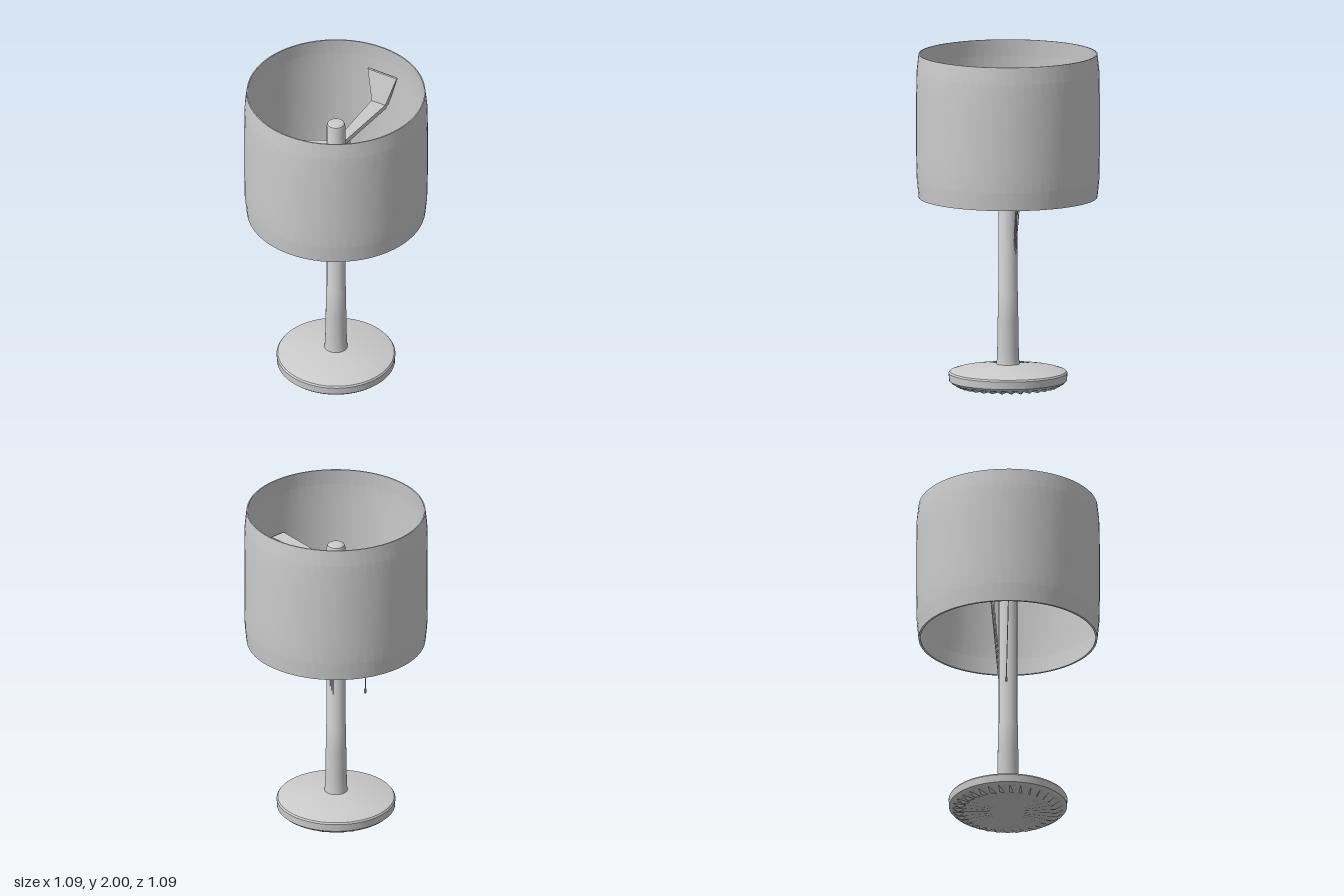
import * as THREE from 'three';
import { toCreasedNormals } from 'three/addons/utils/BufferGeometryUtils.js';

const material = new THREE.MeshStandardMaterial({ color: 0xcccccc, side: THREE.DoubleSide });
const UP = new THREE.Vector3(0, 1, 0);

function part(name, geometry, crease = 0.5) {
  const mesh = new THREE.Mesh(toCreasedNormals(geometry, crease), material);
  mesh.name = name;
  return mesh;
}

function lathe(profile, segments) {
  return new THREE.LatheGeometry(profile.map(([r, y]) => new THREE.Vector2(r, y)), segments);
}

// Thin straight rod between two points
function rod(name, from, to, r0, r1, sides) {
  const a = new THREE.Vector3(...from), b = new THREE.Vector3(...to);
  const mesh = part(name, new THREE.CylinderGeometry(r1, r0, a.distanceTo(b), sides), 0.9);
  mesh.position.copy(a).add(b).multiplyScalar(0.5);
  mesh.quaternion.setFromUnitVectors(UP, b.sub(a).normalize());
  return mesh;
}

// Flat bar with an [x, z] outline, lying between y and y + height
function slab(name, outline, y, height) {
  const shape = new THREE.Shape(outline.map(([x, z]) => new THREE.Vector2(x, -z)));
  const geometry = new THREE.ExtrudeGeometry(shape, { depth: height, bevelEnabled: false });
  geometry.rotateX(-Math.PI / 2);
  geometry.translate(0, y, 0);
  return part(name, geometry);
}

// Sloping plate that widens from the arm up to the shade wall
function bracketGeometry() {
  const rings = [
    [[0.0, 1.625, -0.47], [0.09, 1.625, -0.465], [0.095, 1.61, -0.5], [-0.005, 1.61, -0.505]],
    [[-0.05, 1.82, -0.515], [0.15, 1.82, -0.498], [0.15, 1.82, -0.51], [-0.05, 1.82, -0.527]],
  ];
  const index = [0, 2, 1, 0, 3, 2, 4, 5, 6, 4, 6, 7];
  for (let i = 0; i < 4; i++) {
    const j = (i + 1) % 4;
    index.push(i, j, j + 4, i, j + 4, i + 4);
  }
  const geometry = new THREE.BufferGeometry();
  geometry.setAttribute('position', new THREE.Float32BufferAttribute(rings.flat(2), 3));
  geometry.setIndex(index);
  return geometry;
}

export function createModel() {
  const lamp = new THREE.Group();
  lamp.name = 'tableLamp';

  // Base disc with a fluted underside edge
  const baseProfile = [
    [0, 0.003], [0.26, 0.008], [0.335, 0.026], [0.35, 0.04], [0.352, 0.085],
    [0.345, 0.095], [0.31, 0.106], [0.07, 0.14], [0, 0.14],
  ];
  const segments = 64;
  const base = lathe(baseProfile, segments);
  const p = base.attributes.position;
  for (let i = 0; i <= segments; i++) {
    const k = i * baseProfile.length + 1;
    if (i % 2) p.setXYZ(k, p.getX(k) * 1.12, 0, p.getZ(k) * 1.12);
  }
  lamp.add(part('base', base, 0.2));

  // Post, flared at the foot and rounded at the top
  lamp.add(part('post', lathe([
    [0, 0.13], [0.07, 0.135], [0.067, 0.155], [0.064, 0.22], [0.061, 0.4], [0.059, 0.57],
    [0.055, 0.58], [0.055, 1.755], [0.05, 1.77], [0.04, 1.777], [0, 1.78],
  ], 32)));

  // Drum shade with chamfered rims and a hollow inside
  lamp.add(part('shade', lathe([
    [0.53, 1.14], [0.541, 1.25], [0.544, 1.4], [0.544, 1.75], [0.541, 1.9], [0.53, 2],
    [0.523, 2], [0.533, 1.9], [0.535, 1.75], [0.535, 1.4], [0.532, 1.25], [0.518, 1.14], [0.53, 1.14],
  ], 64), 0.12));

  // Three arms carrying the shade
  for (const side of [-1, 1]) {
    const outline = [[0.03, 0.04], [0.435, 0.295], [0.482, 0.21], [0.05, 0.008]];
    lamp.add(slab(side > 0 ? 'leftArm' : 'rightArm', outline.map(([x, z]) => [side * x, z]), 1.605, 0.03));
  }
  lamp.add(slab('backArm', [[-0.012, -0.04], [0.04, -0.04], [0.093, -0.48], [-0.003, -0.48]], 1.6, 0.03));
  lamp.add(part('backBracket', bracketGeometry(), 0.3));

  // Thin stays behind the post
  for (const [i, x] of [-0.004, 0.012, 0.028].entries()) {
    lamp.add(rod('stay', [x * 0.6, 0.79 + i * 0.03, -0.052], [x, 1.605, -0.128], 0.002, 0.006, 4));
  }

  // Pull cord with its end knob
  lamp.add(rod('pullCord', [-0.16, 0.79, 0.068], [-0.16, 1.61, 0.09], 0.003, 0.003, 6));
  lamp.add(rod('pullKnob', [-0.16, 0.778, 0.068], [-0.16, 0.806, 0.068], 0.008, 0.006, 10));

  return lamp;
}
